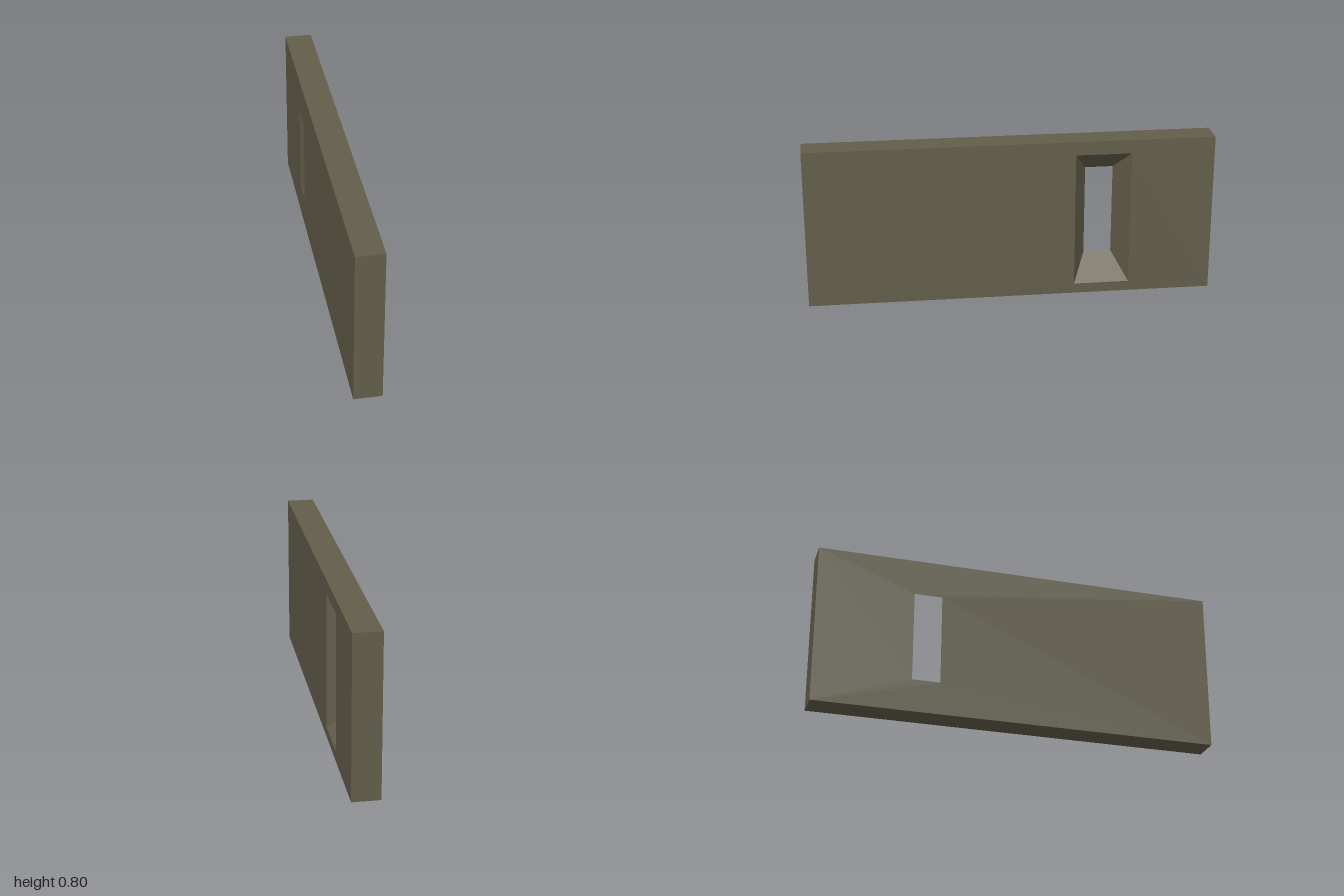
import * as THREE from 'three';

// Rectangular loop in the plane x, counter-clockwise seen from +x
function rectLoop(x, zMin, zMax, yMin, yMax) {
  return [[x, yMin, zMax], [x, yMin, zMin], [x, yMax, zMin], [x, yMax, zMax]];
}

// Join successive loops, closing the last back onto the first
function loftRing(loops) {
  const positions = [];
  loops.forEach((a, k) => {
    const b = loops[(k + 1) % loops.length];
    for (let i = 0; i < 4; i++) {
      const j = (i + 1) % 4;
      for (const p of [a[i], a[j], b[j], a[i], b[j], b[i]]) positions.push(...p);
    }
  });
  const geometry = new THREE.BufferGeometry();
  geometry.setAttribute('position', new THREE.Float32BufferAttribute(positions, 3));
  geometry.computeVertexNormals();
  return geometry;
}

export function createModel() {
  const group = new THREE.Group();
  group.name = 'wallWithSplayedWindow';

  const stone = new THREE.MeshStandardMaterial({ color: 0x625e4a });
  stone.name = 'olive stone';

  const half = 0.068; // half the wall thickness
  // Wall slab with an opening that narrows from the left face to the right face
  const wall = new THREE.Mesh(loftRing([
    rectLoop(half, -1, 1, 0, 0.798),
    rectLoop(half, -0.59, -0.316, 0.05, 0.73),
    rectLoop(-half, -0.522, -0.384, 0.163, 0.617),
    rectLoop(-half, -1, 1, 0, 0.798),
  ]), stone);
  wall.name = 'wall';
  group.add(wall);

  return group;
}
